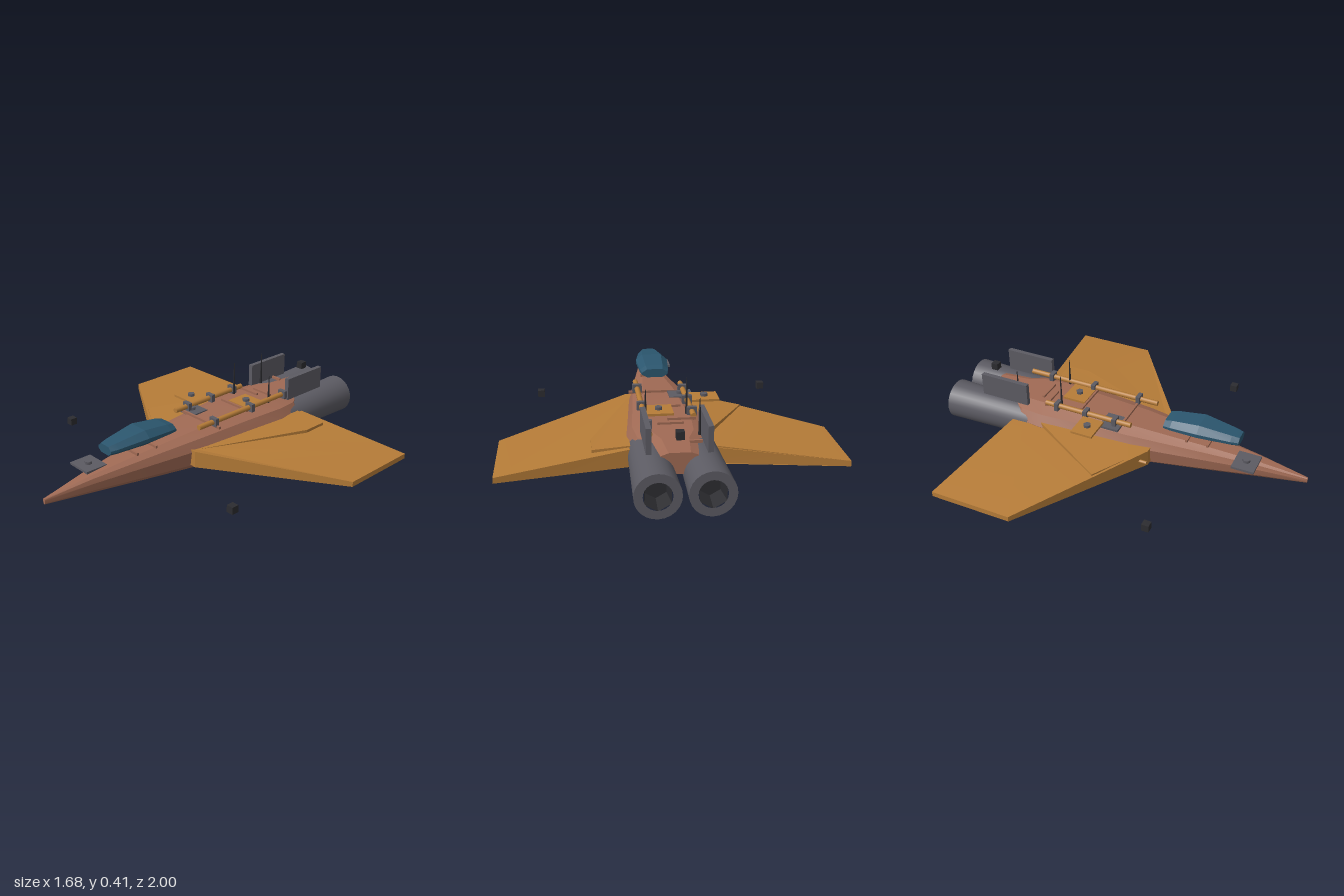
import * as THREE from 'three';
import { toCreasedNormals } from 'three/addons/utils/BufferGeometryUtils.js';

const paint = (name, color) => {
  const m = new THREE.MeshStandardMaterial({ color });
  m.name = name;
  return m;
};

// Skin between rings of equal point count, closed with a fan at both ends
function loft(rings, crease = 0.3) {
  const n = rings[0].length, index = [], last = (rings.length - 1) * n;
  for (let r = 0; r < rings.length - 1; r++) {
    for (let i = 0; i < n; i++) {
      const a = r * n + i, b = r * n + (i + 1) % n;
      index.push(a, a + n, b, b, a + n, b + n);
    }
  }
  for (let i = 1; i < n - 1; i++) {
    index.push(0, i, i + 1, last, last + i + 1, last + i);
  }
  const g = new THREE.BufferGeometry();
  g.setAttribute('position', new THREE.Float32BufferAttribute(rings.flat(2), 3));
  g.setIndex(index);
  return toCreasedNormals(g, crease);
}

// Plate from plan corners [x, z, topY, bottomY], counterclockwise from above
const plate = (pts) => loft([pts.map(([x, z, t]) => [x, t, z]), pts.map(([x, z, , b]) => [x, b, z])], 0.1);
const mirrored = (pts) => pts.map(([x, ...rest]) => [-x, ...rest]).reverse();

export function createModel() {
  const model = new THREE.Group();
  const brown = paint('hull brown', 0xa06a54);
  const orange = paint('wing orange', 0xb67c38);
  const grey = paint('metal grey', 0x5c5b63);
  const blue = paint('canopy blue', 0x2b566e);
  const black = paint('dark fittings', 0x2c2c30);

  const add = (name, geometry, material, x = 0, y = 0, z = 0) => {
    const mesh = new THREE.Mesh(geometry, material);
    mesh.name = name;
    mesh.position.set(x, y, z);
    model.add(mesh);
    return mesh;
  };
  const box = (name, mat, w, h, d, x, y, z) => add(name, new THREE.BoxGeometry(w, h, d), mat, x, y, z);

  // Faceted hull: z, half width, bottom, top
  const hull = [
    [1, 0.008, 0.1, 0.128], [0.75, 0.05, 0.075, 0.165], [0.45, 0.103, 0.045, 0.193],
    [0.1, 0.162, 0.012, 0.22], [-0.2, 0.192, 0.01, 0.23], [-0.42, 0.216, 0.01, 0.234],
    [-0.55, 0.2, 0.015, 0.23], [-0.64, 0.13, 0.05, 0.228], [-0.8, 0.1, 0.12, 0.224],
  ].map(([z, w, b, t]) => {
    const h = t - b;
    const half = [[0.62, 0], [0.92, 0.2], [1, 0.62], [0.85, 0.88], [0.5, 1]];
    const right = half.map(([x, y]) => [x * w, b + y * h, z]);
    return [...right, ...right.map(([x, y]) => [-x, y, z]).reverse()];
  });
  add('fuselage', loft(hull), brown);

  // Main wings, thick at the root and thin at the tip
  const wing = [
    [0.1, 0.2, 0.155, 0.065], [0.17, 0.2, 0.155, 0.065], [0.84, -0.24, 0.088, 0.06],
    [0.84, -0.68, 0.088, 0.06], [0.18, -0.575, 0.157, 0.065], [0.1, -0.57, 0.157, 0.065],
  ];
  add('leftWing', plate(wing), orange);
  add('rightWing', plate(mirrored(wing)), orange);

  // Wing root fairings, different on each side
  add('leftRootFairing', plate([
    [0.14, 0.2, 0.15, 0.08], [0.385, -0.42, 0.15, 0.08],
    [0.385, -0.555, 0.15, 0.08], [0.15, -0.55, 0.165, 0.08],
  ]), orange);
  add('rightRootFairing', plate([
    [-0.14, 0.2, 0.152, 0.08], [-0.15, -0.42, 0.178, 0.08],
    [-0.2, -0.42, 0.172, 0.08], [-0.44, 0.01, 0.137, 0.08],
  ]), orange);
  const probe = add('sideProbe', new THREE.CylinderGeometry(0.009, 0.009, 0.06, 8), orange, -0.21, 0.11, 0.18);
  probe.rotation.x = Math.PI / 2;

  // Canopy with chamfered sides: z, half width, bottom, top
  const canopy = [
    [0.64, 0.05, 0.236, 0.284], [0.6, 0.062, 0.234, 0.291], [0.43, 0.09, 0.232, 0.312],
    [0.28, 0.08, 0.232, 0.293], [0.24, 0.072, 0.235, 0.282],
  ].map(([z, w, b, t]) => [[0.6, 0], [1, 0.35], [1, 0.6], [0.6, 1], [-0.6, 1], [-1, 0.6], [-1, 0.35], [-0.6, 0]]
    .map(([x, y]) => [x * w, b + y * (t - b), z]));
  add('canopy', loft(canopy, 0.1), blue);

  // Twin engines: tapered shell, rim and recessed dark nozzle
  const lathe = (pts, sides) => toCreasedNormals(
    new THREE.LatheGeometry(pts.map(([r, y]) => new THREE.Vector2(r, y)), sides), 0.5);
  for (const s of [-1, 1]) {
    const shell = add('engine', lathe([[0, 0], [0.095, 0], [0.107, 0.5], [0.066, 0.5]], 24), grey, s * 0.12, 0.112, -0.5);
    const nozzle = add('engineNozzle', lathe([[0.07, 0.498], [0.055, 0.4], [0, 0.4]], 6), black, s * 0.12, 0.112, -0.5);
    shell.rotation.x = nozzle.rotation.x = -Math.PI / 2;
    box('tailFin', grey, 0.025, 0.125, 0.28, s * 0.14, 0.282, -0.66);
    box('wingBeacon', black, 0.038, 0.038, 0.038, s * 0.64, 0.112, 0.397);
  }
  box('tailBeacon', black, 0.038, 0.038, 0.038, 0, 0.313, -0.805);

  // Conduits along the back with brackets
  for (const [x, z0, z1, clamps] of [
    [-0.12, -0.42, 0.08, [-0.35, -0.18, -0.01]],
    [0.12, -0.64, 0.13, [-0.51, -0.25, 0.02]],
  ]) {
    const pipe = add('conduit', new THREE.CylinderGeometry(0.014, 0.014, z1 - z0, 10), orange, x, 0.25, (z0 + z1) / 2);
    pipe.rotation.x = Math.PI / 2;
    clamps.forEach((z) => box('conduitBracket', grey, 0.05, 0.045, 0.022, x, 0.25, z));
  }

  // Access plates, each with a hexagonal bolt
  for (const [mat, w, d, x, y, z] of [
    [grey, 0.14, 0.12, -0.065, 0.172, 0.695], [grey, 0.125, 0.11, -0.105, 0.225, -0.03],
    [orange, 0.145, 0.12, -0.218, 0.24, -0.125], [orange, 0.14, 0.13, 0.04, 0.24, -0.3],
  ]) {
    box('accessPlate', mat, w, 0.012, d, x, y, z);
    add('plateBolt', new THREE.CylinderGeometry(0.02, 0.02, 0.015, 6), grey, x, y + 0.013, z);
  }

  // Whip antennas: x, z, tip height
  for (const [x, z, top] of [[-0.095, -0.34, 0.42], [0.115, -0.4, 0.388], [-0.122, -0.59, 0.402]]) {
    add('antenna', new THREE.CylinderGeometry(0.002, 0.007, top - 0.22, 8), black, x, (top + 0.22) / 2, z);
  }

  // Cross ribs on the spine: x, y, z, length
  for (const [x, y, z, len] of [
    [0, 0.196, 0.48, 0.11], [0, 0.204, 0.37, 0.14], [0.02, 0.228, 0.02, 0.29], [0.02, 0.235, -0.23, 0.2],
    [-0.06, 0.238, -0.42, 0.14], [0, 0.236, -0.47, 0.13], [-0.09, 0.23, -0.69, 0.06],
  ]) box('spineRib', brown, len, 0.014, 0.012, x, y, z);

  return model;
}
